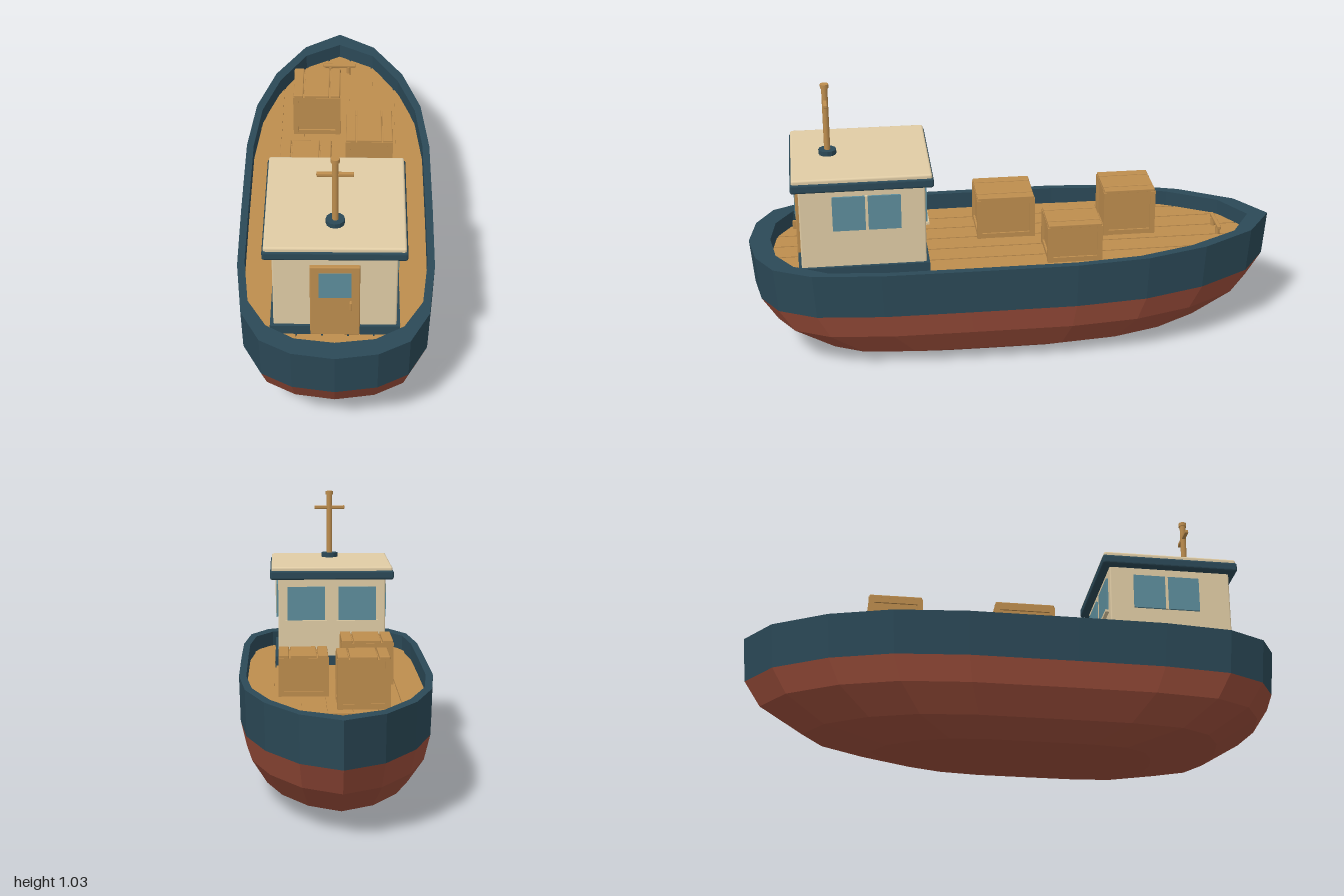
import * as THREE from 'three';
import { RoundedBoxGeometry } from 'three/addons/geometries/RoundedBoxGeometry.js';

const mat = (name, color, extra = {}) => {
  const m = new THREE.MeshStandardMaterial({ color, ...extra });
  m.name = name;
  return m;
};

// Half outlines (x, z) from bow to stern
const OUTER = [[0, -1], [0.145, -0.9], [0.262, -0.7], [0.332, -0.47], [0.359, -0.2], [0.359, 0.2],
  [0.356, 0.52], [0.33, 0.77], [0.26, 0.91], [0.15, 0.975], [0, 1]];
const INNER = [[0, -0.92], [0.14, -0.835], [0.243, -0.65], [0.308, -0.44], [0.332, -0.2], [0.332, 0.2],
  [0.33, 0.5], [0.308, 0.71], [0.24, 0.835], [0.14, 0.9], [0, 0.92]];
const DECK = 0.355;
const PLANK = 0.008;
const FLOOR = DECK + PLANK;

// Closed ring from a half outline, scaled and placed at height y
function ring(half, s, y) {
  const mirrored = half.slice(1, -1).reverse().map(([x, z]) => [-x, z]);
  return [...half, ...mirrored].map(([x, z]) => [x * s, y, z * s]);
}

// Faceted skin between successive rings
function loft(rings) {
  const pos = [];
  for (let r = 0; r < rings.length - 1; r++) {
    const lo = rings[r], up = rings[r + 1], n = lo.length;
    for (let i = 0; i < n; i++) {
      const j = (i + 1) % n;
      pos.push(...lo[i], ...up[i], ...up[j], ...lo[i], ...up[j], ...lo[j]);
    }
  }
  const g = new THREE.BufferGeometry();
  g.setAttribute('position', new THREE.Float32BufferAttribute(pos, 3));
  g.computeVertexNormals();
  return g;
}

// Bow and stern z of the deck at a given x
function deckEnds(x) {
  const a = Math.abs(x);
  const at = (list) => {
    for (let i = 0; i < list.length - 1; i++) {
      const [x0, z0] = list[i], [x1, z1] = list[i + 1];
      if (a <= x1) return z0 + (z1 - z0) * (a - x0) / (x1 - x0);
    }
    return list[list.length - 1][1];
  };
  return [at(INNER.slice(0, 5)), at(INNER.slice(5).reverse())];
}

export function createModel() {
  const boat = new THREE.Group();
  boat.name = 'boat';
  const navy = mat('navy paint', 0x2b4957, { flatShading: true });
  const red = mat('red bottom paint', 0x9c4e3b, { flatShading: true });
  const wood = mat('wood', 0xbd8d4e);
  const cream = mat('cream paint', 0xe0cca5);
  const glass = mat('window glass', 0x5d8d9c);

  const add = (parent, name, geo, material, x = 0, y = 0, z = 0) => {
    const m = new THREE.Mesh(geo, material);
    m.name = name;
    m.position.set(x, y, z);
    parent.add(m);
    return m;
  };
  // Box given by its min and max corners
  const box = (parent, name, material, x0, x1, y0, y1, z0, z1, r = 0) => {
    const [w, h, d] = [x1 - x0, y1 - y0, z1 - z0];
    const g = r ? new RoundedBoxGeometry(w, h, d, 2, r) : new THREE.BoxGeometry(w, h, d);
    return add(parent, name, g, material, (x0 + x1) / 2, (y0 + y1) / 2, (z0 + z1) / 2);
  };
  const group = (name) => {
    const g = new THREE.Group();
    g.name = name;
    boat.add(g);
    return g;
  };

  // Hull: red bottom, navy topsides with rail and inner bulwark
  const hull = group('hull');
  const waterline = ring(OUTER, 0.986, 0.25);
  add(hull, 'hullBottom', loft([ring(OUTER, 0, 0), ring(OUTER, 0.52, 0), ring(OUTER, 0.768, 0.055),
    ring(OUTER, 0.926, 0.155), waterline]), red);
  add(hull, 'hullTopsides', loft([waterline, ring(OUTER, 1, 0.42), ring(INNER, 1, 0.42),
    ring(INNER, 1, DECK)]), navy);

  // Deck with raised planks cut to the deck outline
  const deck = group('deck');
  add(deck, 'deckBase', loft([ring(INNER, 1, DECK), ring(INNER, 0, DECK)]), wood);
  const pitch = 0.09;
  for (let i = -3; i <= 3; i++) {
    const xs = [-0.5, -0.25, 0, 0.25, 0.5].map((t) => i * pitch + t * (pitch - 0.006));
    const ends = xs.map((x) => [x, ...deckEnds(x)]);
    const shape = new THREE.Shape([
      ...ends.map(([x, bow]) => new THREE.Vector2(x, -bow - 0.005)),
      ...ends.reverse().map(([x, , stern]) => new THREE.Vector2(x, -stern + 0.005)),
    ]);
    const g = new THREE.ExtrudeGeometry(shape, { depth: PLANK, bevelEnabled: false });
    g.rotateX(-Math.PI / 2);
    add(deck, 'deckPlank', g, wood, 0, DECK, 0);
  }

  // Wheelhouse
  const cabin = group('wheelhouse');
  box(cabin, 'plinth', navy, -0.226, 0.226, DECK, 0.4, 0.334, 0.816);
  box(cabin, 'walls', cream, -0.214, 0.214, 0.39, 0.715, 0.345, 0.805, 0.006);
  box(cabin, 'roofEdge', navy, -0.246, 0.246, 0.71, 0.746, 0.315, 0.832, 0.008);
  box(cabin, 'roofTop', cream, -0.241, 0.241, 0.735, 0.761, 0.32, 0.827, 0.008);

  // Door at the stern end
  box(cabin, 'door', wood, -0.086, 0.086, FLOOR, 0.67, 0.8, 0.819, 0.004);
  box(cabin, 'doorWindow', glass, -0.056, 0.056, 0.536, 0.645, 0.815, 0.822);
  box(cabin, 'doorHandle', wood, 0.05, 0.059, 0.487, 0.52, 0.815, 0.832, 0.003);

  // Side windows with mullions
  for (const s of [-1, 1]) {
    const w = add(cabin, 'sideWindow', new THREE.BoxGeometry(0.009, 0.134, 0.25), glass, s * 0.217, 0.612, 0.56);
    add(w, 'mullion', new THREE.BoxGeometry(0.012, 0.138, 0.01), cream, s * 0.002, 0, 0);
  }
  // Two windows looking over the deck
  for (const s of [-1, 1]) {
    const w = add(cabin, 'forwardWindow', new THREE.BoxGeometry(0.15, 0.134, 0.009), glass, s * 0.102, 0.612, 0.342);
    add(w, 'windowSill', new THREE.BoxGeometry(0.166, 0.01, 0.016), cream, 0, -0.072, -0.003);
  }

  // Mast with crossbar
  const mast = group('mast');
  const post = (parent, name, r, y0, y1, x, z, material = wood) =>
    add(parent, name, new THREE.CylinderGeometry(r, r, y1 - y0, 12), material, x, (y0 + y1) / 2, z);
  post(mast, 'mastBase', 0.033, 0.755, 0.779, 0, 0.69, navy);
  post(mast, 'mastPole', 0.0115, 0.77, 1.025, 0, 0.69);
  post(mast, 'mastCap', 0.0155, 1.02, 1.035, 0, 0.69);
  box(mast, 'crossbar', wood, -0.063, 0.063, 0.961, 0.975, 0.683, 0.697, 0.003);

  // Mooring bitt at the bow
  const bitt = group('mooringBitt');
  for (const s of [-1, 1]) post(bitt, 'bittPost', 0.009, DECK, 0.395, s * 0.038, -0.795);
  box(bitt, 'bittBar', wood, -0.067, 0.067, 0.39, 0.404, -0.802, -0.788, 0.003);

  // Crates: recessed panels, corner posts, edge rails and lid slats
  const crate = (x0, x1, top, z0, z1) => {
    const c = group('crate');
    const t = 0.02, inset = 0.009, y0 = FLOOR, y1 = top - 0.01;
    box(c, 'cratePanels', wood, x0 + inset, x1 - inset, y0, y1 - 0.003, z0 + inset, z1 - inset);
    for (const x of [x0, x1 - t]) {
      for (const z of [z0, z1 - t]) box(c, 'cornerPost', wood, x, x + t, y0, y1, z, z + t);
    }
    for (const y of [y0, y1 - t]) {
      for (const x of [x0 + 0.002, x1 - t - 0.002]) {
        box(c, 'sideRail', wood, x, x + t, y, y + t - 0.001, z0 + t, z1 - t);
      }
      for (const z of [z0 + 0.002, z1 - t - 0.002]) {
        box(c, 'endRail', wood, x0 + t, x1 - t, y, y + t - 0.001, z, z + t);
      }
    }
    const w = x1 - x0;
    for (const [a, b] of [[0.01, 0.21], [0.24, 0.76], [0.79, 0.99]]) {
      box(c, 'lidSlat', wood, x0 + a * w, x0 + b * w, y1 - 0.004, top, z0 + 0.003, z1 - 0.003, 0.003);
    }
  };
  crate(-0.18, 0.007, 0.55, -0.553, -0.353);
  crate(0.03, 0.213, 0.515, -0.313, -0.107);
  crate(-0.22, -0.023, 0.532, -0.09, 0.133);

  return boat;
}
